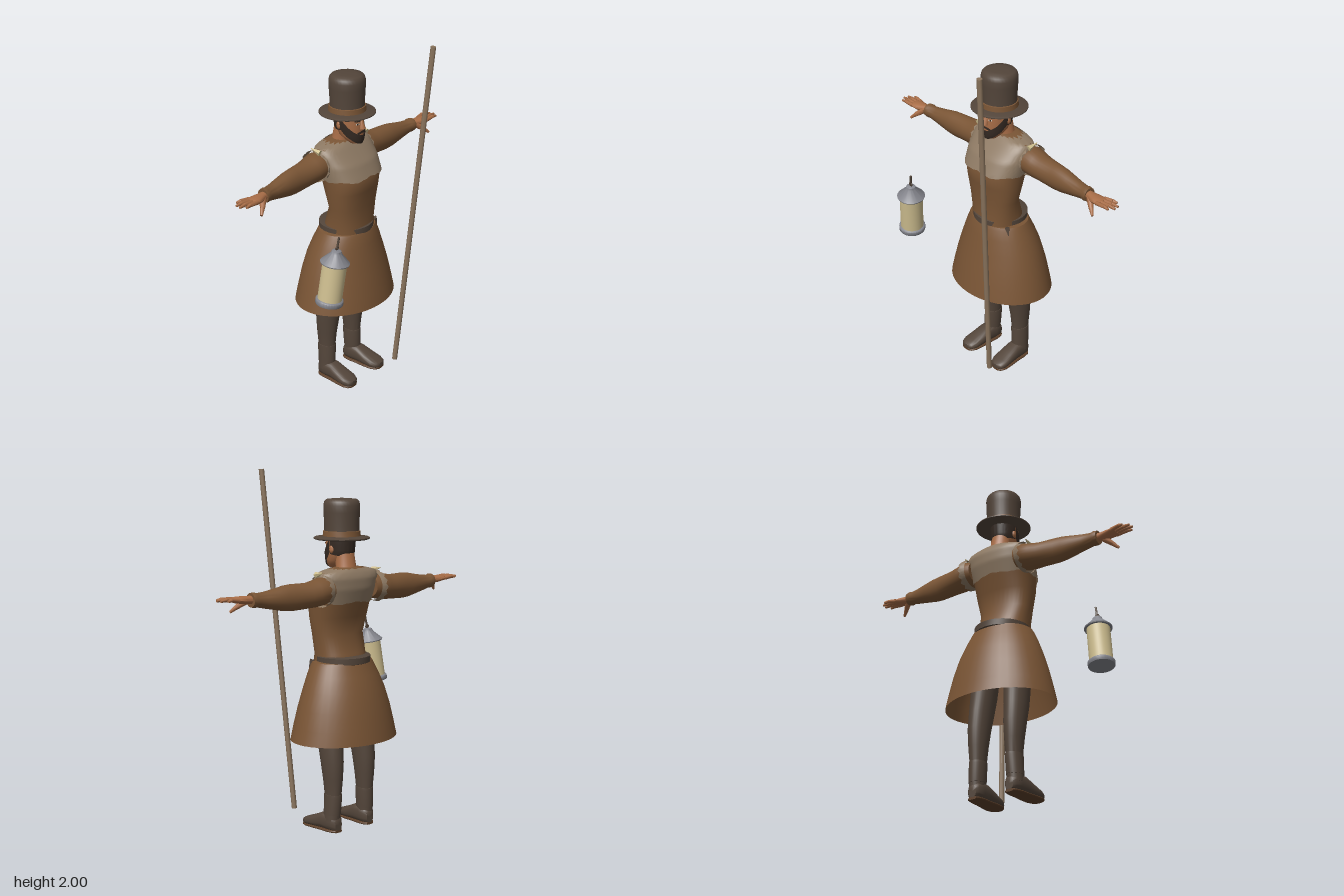
import * as THREE from 'three';
import { toCreasedNormals } from 'three/addons/utils/BufferGeometryUtils.js';

const mat = (name, color, side = THREE.FrontSide) => {
  const m = new THREE.MeshStandardMaterial({ color, side });
  m.name = name;
  return m;
};
const V = (x, y, z) => new THREE.Vector3(x, y, z);

// Point on a stack of oval sections [y, cx, cz, rx, rz] at height y and angle a (0 = +z)
function onStack(S, y, a, p = 1, off = 0) {
  let i = 0;
  while (i < S.length - 2 && y > S[i + 1][0]) i++;
  const t = THREE.MathUtils.clamp((y - S[i][0]) / (S[i + 1][0] - S[i][0]), 0, 1);
  const [cx, cz, rx, rz] = [1, 2, 3, 4].map(k => S[i][k] + (S[i + 1][k] - S[i][k]) * t);
  const s = Math.sin(a), c = Math.cos(a);
  return [cx + (rx + off) * Math.sign(s) * Math.abs(s) ** p, y, cz + (rz + off) * Math.sign(c) * Math.abs(c) ** p];
}

function build(pos, idx) {
  const g = new THREE.BufferGeometry();
  g.setAttribute('position', new THREE.Float32BufferAttribute(pos, 3));
  g.setIndex(idx);
  return g;
}

// Closed tube through the sections, optionally capped
function loft(S, { n = 28, p = 1, caps = true } = {}) {
  const pos = [], idx = [];
  for (const s of S) for (let j = 0; j < n; j++) pos.push(...onStack(S, s[0], j / n * Math.PI * 2, p));
  for (let i = 0; i < S.length - 1; i++) for (let j = 0; j < n; j++) {
    const a = i * n + j, b = i * n + (j + 1) % n;
    idx.push(a, b, b + n, a, b + n, a + n);
  }
  if (caps) {
    const e = S[S.length - 1], top = (S.length - 1) * n, c = S.length * n;
    pos.push(S[0][1], S[0][0], S[0][2], e[1], e[0], e[2]);
    for (let j = 0; j < n; j++) {
      const k = (j + 1) % n;
      idx.push(c, k, j, c + 1, top + j, top + k);
    }
  }
  return build(pos, idx);
}

// Thin skin over a stack between two edge curves low(a) and high(a)
function patch(S, a0, a1, low, high, { n = 32, m = 6, p = 1, off = 0.006 } = {}) {
  const pos = [], idx = [];
  for (let i = 0; i <= m; i++) for (let j = 0; j <= n; j++) {
    const a = a0 + (a1 - a0) * j / n;
    pos.push(...onStack(S, low(a) + (high(a) - low(a)) * i / m, a, p, off));
  }
  for (let i = 0; i < m; i++) for (let j = 0; j < n; j++) {
    const a = i * (n + 1) + j, b = a + n + 1;
    idx.push(a, a + 1, b + 1, a, b + 1, b);
  }
  return build(pos, idx);
}

// Tapered round bar from one point to another
function rod(from, to, r0, r1, n = 10) {
  const d = to.clone().sub(from);
  const g = new THREE.CylinderGeometry(r1, r0, d.length(), n);
  g.applyQuaternion(new THREE.Quaternion().setFromUnitVectors(V(0, 1, 0), d.normalize()));
  return g.translate(...from.clone().add(to).multiplyScalar(0.5).toArray());
}

function mirror(g) {
  const m = g.clone().scale(-1, 1, 1), ix = m.index.array;
  for (let i = 0; i < ix.length; i += 3) [ix[i], ix[i + 1]] = [ix[i + 1], ix[i]];
  return m;
}

const lathe = (pts, n = 32) => new THREE.LatheGeometry(pts.map(q => new THREE.Vector2(...q)), n);

export function createModel() {
  const root = new THREE.Group();
  root.name = 'watchman';
  const D = THREE.DoubleSide;
  const coat = mat('brown coat', 0x7a5535, D), cape = mat('pale leather', 0x8d7963, D),
    dark = mat('dark leather', 0x53453a, D), skin = mat('skin', 0xa86d47), hair = mat('dark hair', 0x352a23, D),
    metal = mat('grey metal', 0x85868d), glass = mat('cream glass', 0xd0c091), wood = mat('pole wood', 0x8a745d),
    sole = mat('boot sole', 0x5c3f29), white = mat('eye white', 0xd8cec0, D);
  const add = (name, g, m, parent = root) => {
    const mesh = new THREE.Mesh(toCreasedNormals(g, 0.8), m);
    mesh.name = name;
    parent.add(mesh);
    return mesh;
  };
  const pair = (name, g, m) => {
    add(name + 'Left', g, m);
    add(name + 'Right', mirror(g), m);
  };
  const zig = (a, k) => Math.abs(((a * k / Math.PI) % 1 + 1) % 1 - 0.5);
  const TAU = Math.PI * 2;

  // Torso and tattered shoulder cape
  const torso = [[0.93, 0, -0.045, 0.15, 0.125], [1.0, 0, -0.04, 0.148, 0.115], [1.1, 0, -0.02, 0.158, 0.096],
    [1.2, 0, -0.025, 0.176, 0.115], [1.28, 0, -0.032, 0.182, 0.135], [1.36, 0, -0.063, 0.192, 0.126],
    [1.42, 0, -0.09, 0.196, 0.1], [1.45, 0, -0.097, 0.185, 0.08], [1.465, 0, -0.1, 0.13, 0.066], [1.475, 0, -0.1, 0.065, 0.055]];
  add('torso', loft(torso, { p: 0.85, n: 40 }), coat);
  add('cape', patch(torso, 0, TAU, a => 1.275 + 0.025 * zig(a, 3) + 0.008 * zig(a, 11), a => 1.472 - 0.01 * zig(a, 9),
    { n: 96, m: 16, p: 0.85, off: 0.008 }), cape);

  // Flared skirt and belt
  add('skirt', loft([[0.52, 0, -0.075, 0.325, 0.255], [0.6, 0, -0.075, 0.307, 0.241], [0.7, 0, -0.075, 0.282, 0.22],
    [0.8, 0, -0.073, 0.25, 0.195], [0.88, 0, -0.066, 0.217, 0.171], [0.935, 0, -0.06, 0.19, 0.152], [0.953, 0, -0.06, 0.18, 0.145],
    [0.957, 0, -0.055, 0.14, 0.115]], { n: 40, caps: false }), coat);
  add('belt', loft([[0.945, 0, -0.065, 0.148, 0.145], [0.948, 0, -0.065, 0.155, 0.152], [0.982, 0, -0.065, 0.155, 0.152],
    [0.985, 0, -0.065, 0.148, 0.145]], { n: 40 }), dark);
  add('beltTail', rod(V(0.168, 0.915, 0.025), V(0.15, 0.96, 0.02), 0.002, 0.018, 4), dark);

  // Sleeves, built upright and laid along x
  const arm = [[0.15, -1.36, -0.11, 0.065, 0.075], [0.2, -1.357, -0.115, 0.076, 0.083], [0.25, -1.348, -0.115, 0.073, 0.077],
    [0.3, -1.342, -0.115, 0.069, 0.07], [0.4, -1.34, -0.108, 0.072, 0.058], [0.45, -1.34, -0.106, 0.068, 0.055],
    [0.5, -1.34, -0.104, 0.058, 0.05], [0.57, -1.341, -0.1, 0.045, 0.041], [0.62, -1.344, -0.096, 0.037, 0.037],
    [0.635, -1.346, -0.094, 0.041, 0.04], [0.655, -1.347, -0.092, 0.038, 0.037]];
  pair('sleeve', loft(arm).rotateZ(-Math.PI / 2), coat);
  pair('shoulderFringe', patch(arm, 0, TAU, () => 0.17, a => 0.195 + 0.03 * zig(a, 7),
    { n: 84, m: 3, off: 0.012 }).rotateZ(-Math.PI / 2), cape);
  pair('shoulderTuft', rod(V(0.205, 1.442, -0.08), V(0.21, 1.458, -0.14), 0.017, 0.002, 5), glass);

  // Hands with four fingers and a thumb
  pair('palm', loft([[0.63, -1.348, -0.09, 0.024, 0.027], [0.67, -1.35, -0.088, 0.021, 0.026], [0.71, -1.352, -0.082, 0.02, 0.038],
    [0.75, -1.355, -0.08, 0.016, 0.042], [0.765, -1.355, -0.08, 0.011, 0.038]], { n: 16 }).rotateZ(-Math.PI / 2), skin);
  [[0.82, -0.125], [0.85, -0.1], [0.855, -0.072], [0.835, -0.043]].forEach(([x, z], i) => {
    const z0 = -0.112 + i * 0.021, mid = V((x + 0.755) / 2 + 0.01, 1.361, (z + z0) / 2);
    pair('finger' + (i + 1), rod(V(0.745, 1.355, z0), mid, 0.012, 0.0105), skin);
    pair('fingertip' + (i + 1), rod(mid, V(x, 1.358, z), 0.0105, 0.006), skin);
  });
  pair('thumbBase', rod(V(0.675, 1.343, -0.075), V(0.715, 1.31, -0.045), 0.019, 0.013), skin);
  pair('thumbTip', rod(V(0.712, 1.313, -0.047), V(0.742, 1.285, -0.028), 0.013, 0.007), skin);

  // Legs, boot cuffs, feet and soles
  pair('leg', loft([[0.06, 0.123, -0.115, 0.043, 0.05], [0.14, 0.12, -0.117, 0.041, 0.051], [0.2, 0.117, -0.118, 0.041, 0.052],
    [0.3, 0.117, -0.117, 0.05, 0.062], [0.4, 0.117, -0.11, 0.058, 0.073], [0.5, 0.115, -0.093, 0.061, 0.082],
    [0.6, 0.11, -0.08, 0.066, 0.086], [0.85, 0.1, -0.06, 0.08, 0.09]]), dark);
  pair('bootCuff', loft([[0.1, 0.121, -0.116, 0.045, 0.053], [0.2, 0.117, -0.118, 0.046, 0.056],
    [0.215, 0.117, -0.118, 0.045, 0.055], [0.217, 0.117, -0.118, 0.038, 0.048]]), dark);
  const foot = [[-0.166, 0.118, -0.045, 0.024, 0.033], [-0.15, 0.119, -0.052, 0.038, 0.044], [-0.11, 0.12, -0.058, 0.046, 0.051],
    [-0.06, 0.122, -0.056, 0.047, 0.049], [0, 0.125, -0.042, 0.053, 0.035], [0.05, 0.128, -0.032, 0.054, 0.026],
    [0.08, 0.13, -0.026, 0.043, 0.02], [0.091, 0.13, -0.024, 0.025, 0.013]];
  pair('foot', loft(foot, { p: 0.75 }).rotateX(Math.PI / 2), dark);
  pair('sole', loft(foot.map(([z, x, , rx]) => [z, x, -0.008, rx, 0.008]), { p: 0.6 }).rotateX(Math.PI / 2), sole);

  // Head, neck and face
  const head = [[1.465, 0, 0, 0.03, 0.035], [1.485, 0, -0.01, 0.05, 0.05], [1.51, 0, -0.03, 0.062, 0.073],
    [1.55, 0, -0.04, 0.07, 0.084], [1.6, 0, -0.042, 0.074, 0.087], [1.64, 0, -0.045, 0.074, 0.088]];
  add('neck', loft([[1.42, 0, -0.1, 0.07, 0.06], [1.47, 0, -0.092, 0.058, 0.053], [1.55, 0, -0.078, 0.054, 0.052]]), skin);
  add('head', loft(head), skin);
  add('nose', rod(V(0, 1.552, 0.05), V(0, 1.6, 0.042), 0.018, 0.007, 8), skin);
  pair('ear', new THREE.SphereGeometry(0.02, 12, 8).scale(0.5, 1.1, 0.8).translate(0.074, 1.57, -0.055), skin);
  add('beard', patch(head, -1.6, 1.6, a => 1.466 + 0.085 * Math.abs(a / 1.6) ** 3, a => 1.517 + 0.11 * (a / 1.6) ** 2,
    { off: 0.008 }), hair);
  add('moustache', patch(head, -0.5, 0.5, a => 1.53 - 0.05 * a * a, a => 1.543 - 0.04 * a * a, { n: 12, m: 2, off: 0.009 }), hair);
  add('hair', patch(head, 1.6, TAU - 1.6, a => 1.545 - 0.015 * Math.abs(Math.cos(a)), () => 1.635, { off: 0.005 }), hair);
  const flat = (name, a0, a1, y0, y1, off, m) =>
    pair(name, patch(head, a0, a1, () => y0, () => y1, { n: 5, m: 1, off }), m);
  flat('eye', 0.28, 0.55, 1.578, 1.587, 0.002, white);
  flat('iris', 0.37, 0.47, 1.578, 1.587, 0.003, hair);
  flat('eyebrow', 0.2, 0.65, 1.596, 1.603, 0.004, hair);

  // Tall hat with band
  const hat = new THREE.Group();
  hat.name = 'hat';
  hat.position.z = -0.055;
  root.add(hat);
  add('hatBrim', lathe([[0, 1.622], [0.145, 1.622], [0.156, 1.627], [0.156, 1.632], [0.145, 1.637], [0.09, 1.642]], 40), dark, hat);
  add('hatCrown', lathe([[0.097, 1.635], [0.096, 1.7], [0.1, 1.77], [0.101, 1.808], [0.096, 1.828], [0.085, 1.84], [0.05, 1.844], [0, 1.844]]), dark, hat);
  add('hatBand', lathe([[0.096, 1.636], [0.105, 1.638], [0.102, 1.668], [0.096, 1.67]]), coat, hat);

  // Tilted lantern
  const lantern = new THREE.Group();
  lantern.name = 'lantern';
  lantern.position.set(-0.478, 0.738, 0.195);
  lantern.quaternion.setFromUnitVectors(V(0, 1, 0), V(0.042, 0.375, 0.033).normalize());
  root.add(lantern);
  add('lanternBase', lathe([[0, 0], [0.074, 0], [0.076, 0.004], [0.076, 0.024], [0.07, 0.03], [0, 0.03]]), metal, lantern);
  add('lanternGlass', lathe([[0.066, 0.028], [0.066, 0.25]]), glass, lantern);
  add('lanternRoof', lathe([[0, 0.238], [0.078, 0.238], [0.08, 0.244], [0.03, 0.296], [0.026, 0.31], [0.012, 0.316], [0, 0.316]]), metal, lantern);
  add('lanternHandle', rod(V(0, 0.31, 0), V(0.004, 0.385, 0), 0.006, 0.006, 8), dark, lantern);
  add('lanternRing', new THREE.TorusGeometry(0.01, 0.004, 6, 14).translate(0, 0.325, 0), dark, lantern);

  // Long pole
  add('pole', rod(V(0.165, 0.076, 0.166), V(0.263, 1.998, 0.317), 0.015, 0.015, 12), wood);
  return root;
}
